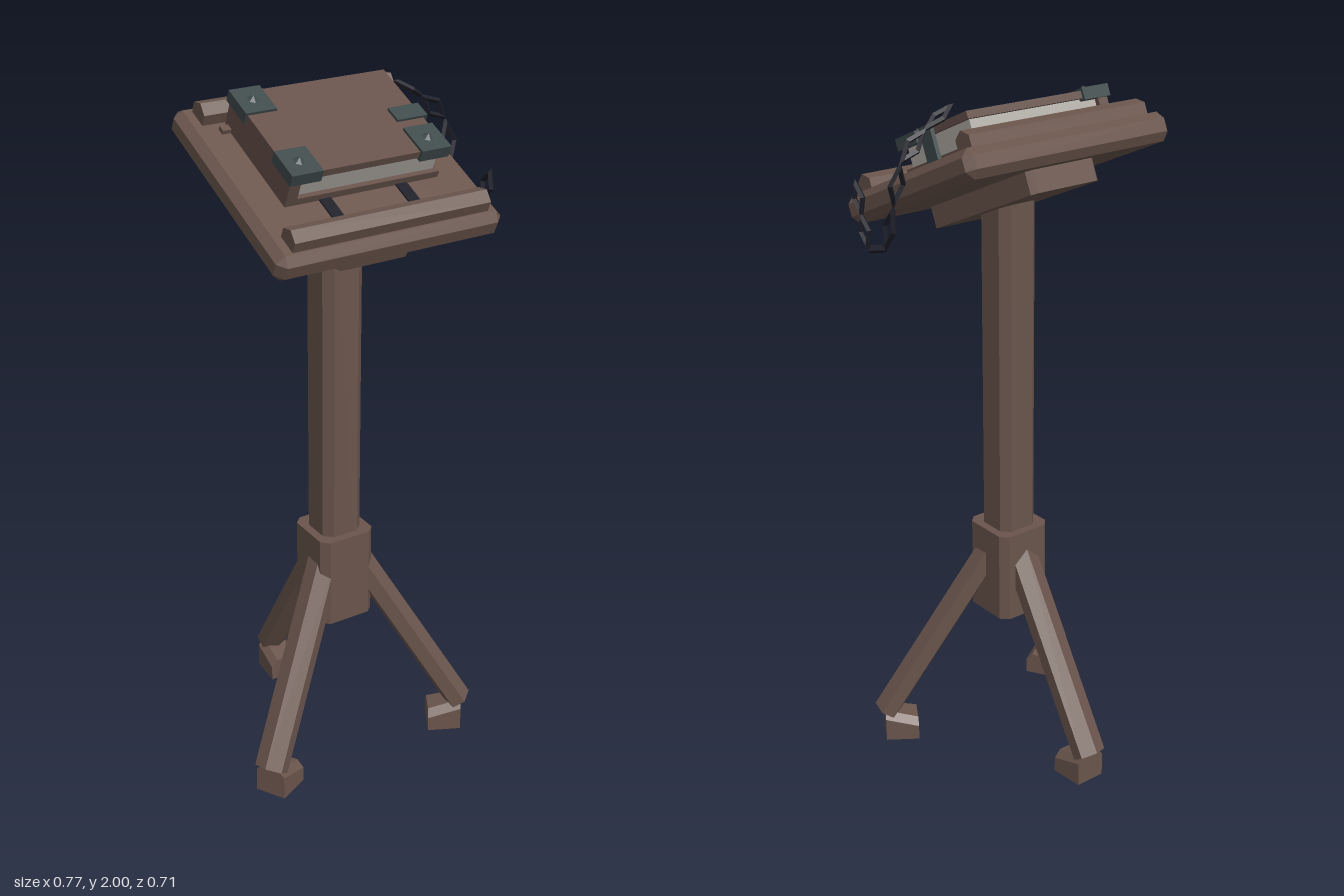
import * as THREE from 'three';
import { ConvexGeometry } from 'three/addons/geometries/ConvexGeometry.js';

const mat = (name, color) => Object.assign(new THREE.MeshStandardMaterial({ color }), { name });

// Faceted copy of a geometry
function flat(geo) {
  const g = geo.index ? geo.toNonIndexed() : geo;
  g.computeVertexNormals();
  return g;
}

// Upright prism with chamfered vertical edges, centred on its middle
function prism(w, h, d, c) {
  const x = w / 2, z = d / 2;
  const s = new THREE.Shape([
    [x - c, -z], [x, c - z], [x, z - c], [x - c, z],
    [c - x, z], [-x, z - c], [-x, c - z], [c - x, -z],
  ].map(p => new THREE.Vector2(...p)));
  const g = new THREE.ExtrudeGeometry(s, { depth: h, bevelEnabled: false });
  return g.translate(0, 0, -h / 2).rotateX(-Math.PI / 2);
}

// Box with every edge chamfered
function chamferBox(w, h, d, c) {
  const pts = [], x = w / 2, y = h / 2, z = d / 2;
  for (const i of [-1, 1]) for (const j of [-1, 1]) for (const k of [-1, 1]) {
    pts.push(new THREE.Vector3(i * x, j * (y - c), k * (z - c)));
    pts.push(new THREE.Vector3(i * (x - c), j * y, k * (z - c)));
    pts.push(new THREE.Vector3(i * (x - c), j * (y - c), k * z));
  }
  return new ConvexGeometry(pts);
}

function add(parent, name, geo, material, x = 0, y = 0, z = 0) {
  const m = new THREE.Mesh(geo, material);
  m.name = name;
  m.position.set(x, y, z);
  parent.add(m);
  return m;
}

// Box given by its minimum and maximum corners
function block(parent, name, material, a, b) {
  const size = b.map((v, i) => v - a[i]);
  return add(parent, name, new THREE.BoxGeometry(...size), material, ...b.map((v, i) => (v + a[i]) / 2));
}

export function createModel() {
  const wood = mat('brown wood', 0x6a554c);
  const leather = mat('brown leather', 0x66514a);
  const metal = mat('slate metal', 0x3f4a4b);
  const iron = mat('black iron', 0x1d1d28);
  const paper = mat('paper', 0xb0aba5);

  const model = new THREE.Group();
  model.name = 'bookStand';
  const stand = new THREE.Group();
  stand.name = 'stand';
  stand.position.set(-0.018, 0, 0.062);
  model.add(stand);

  // Post and collar
  add(stand, 'post', prism(0.125, 1.2, 0.125, 0.024), wood, 0, 1.1, 0);
  add(stand, 'collar', prism(0.174, 0.275, 0.174, 0.022), wood, 0, 0.5725, 0);

  // Three legs with wedge feet, built facing +z and turned
  const inner = new THREE.Vector2(0.04, 0.65), outer = new THREE.Vector2(0.383, 0.088);
  const legLength = inner.distanceTo(outer);
  const legGeo = flat(new THREE.CylinderGeometry(0.04, 0.04, legLength, 6).scale(1.27, 1, 1));
  const footPts = [];
  for (const [z, hw, top] of [[0.289, 0.054, 0.068], [0.389, 0.046, 0.095]]) {
    for (const s of [-1, 1]) {
      footPts.push(new THREE.Vector3(s * hw, 0, z));
      footPts.push(new THREE.Vector3(s * hw, top - 0.022, z));
      footPts.push(new THREE.Vector3(s * (hw - 0.02), top, z));
    }
  }
  const footGeo = new ConvexGeometry(footPts);
  ['leftLeg', 'backLeg', 'rightLeg'].forEach((name, i) => {
    const leg = new THREE.Group();
    leg.name = name;
    leg.rotation.y = Math.PI / 3 + i * Math.PI * 2 / 3;
    const bar = add(leg, 'legBar', legGeo, wood, 0, (inner.y + outer.y) / 2, (inner.x + outer.x) / 2);
    bar.rotation.x = -Math.atan2(outer.x - inner.x, inner.y - outer.y);
    add(leg, 'foot', footGeo, wood);
    stand.add(leg);
  });

  // Tilted desk
  const desk = new THREE.Group();
  desk.name = 'desk';
  desk.position.set(-0.018, 1.775, 0.068);
  desk.rotation.x = THREE.MathUtils.degToRad(24);
  model.add(desk);
  add(desk, 'board', chamferBox(0.675, 0.08, 0.615, 0.022), wood);
  add(desk, 'underPlate', prism(0.227, 0.066, 0.485, 0.015), wood, 0, -0.068, 0.005);
  const ledgeGeo = flat(new THREE.CylinderGeometry(0.035, 0.035, 0.585, 6).rotateZ(Math.PI / 2).rotateX(-Math.PI / 2));
  add(desk, 'frontLedge', ledgeGeo, wood, 0, 0.052, 0.25);
  add(desk, 'backLedge', ledgeGeo, wood, 0, 0.054, -0.245);
  for (const s of [-1, 1]) {
    block(desk, 'strap', iron, [s * 0.115 - 0.017, 0.039, -0.22], [s * 0.115 + 0.017, 0.044, 0.22]);
  }
  block(desk, 'crossBar', wood, [-0.257, 0.038, -0.192], [0.257, 0.052, -0.17]);

  // Closed book, spine on its right side
  const book = new THREE.Group();
  book.name = 'book';
  desk.add(book);
  block(book, 'bottomCover', leather, [-0.232, 0.04, -0.204], [0.23, 0.06, 0.126]);
  block(book, 'topCover', leather, [-0.232, 0.12, -0.204], [0.23, 0.14, 0.126]);
  block(book, 'spine', leather, [-0.232, 0.06, -0.204], [-0.2, 0.12, 0.126]);
  block(book, 'pages', paper, [-0.2, 0.06, -0.19], [0.217, 0.12, 0.112]);

  // Metal corners with rivets
  const rivetGeo = flat(new THREE.ConeGeometry(0.016, 0.012, 6));
  for (const [x, z] of [[-0.193, -0.163], [-0.193, 0.085], [0.191, 0.085]]) {
    block(book, 'corner', metal, [x - 0.045, 0.114, z - 0.049], [x + 0.045, 0.147, z + 0.049]);
    add(book, 'rivet', rivetGeo, metal, x, 0.153, z);
  }

  // Clasp over the fore edge
  block(book, 'claspTop', metal, [0.148, 0.138, -0.047], [0.242, 0.147, 0.004]);
  block(book, 'claspSide', metal, [0.23, 0.042, -0.047], [0.242, 0.14, 0.004]);

  // Hanging chain: diamond links alternately open across and along
  const chain = new THREE.Group();
  chain.name = 'chain';
  model.add(chain);
  const path = [
    [0.185, 1.98, 0.035], [0.27, 1.93, 0.035], [0.35, 1.855, 0.035], [0.355, 1.735, 0.065],
    [0.355, 1.61, 0.105], [0.355, 1.595, 0.19], [0.355, 1.68, 0.215], [0.355, 1.765, 0.24],
  ].map(p => new THREE.Vector3(...p));
  const across = [[0, 0, 1], [0, 1, 0], [1, 0, 0], [0, 0, 1], [1, 0, 0], [0, 0, 1], [0, 0, 1]];
  for (let i = 0; i < path.length - 1; i++) {
    const dir = path[i + 1].clone().sub(path[i]);
    const len = dir.length() + 0.014;
    dir.normalize();
    const normal = new THREE.Vector3().crossVectors(new THREE.Vector3(...across[i]), dir).normalize();
    const side = new THREE.Vector3().crossVectors(dir, normal);
    const geo = flat(new THREE.TorusGeometry(0.021, 0.008, 4, 4).scale(1, len / 0.058, 1));
    const link = add(chain, 'link', geo, iron);
    link.position.copy(path[i]).lerp(path[i + 1], 0.5);
    link.quaternion.setFromRotationMatrix(new THREE.Matrix4().makeBasis(side, dir, normal));
  }
  return model;
}
